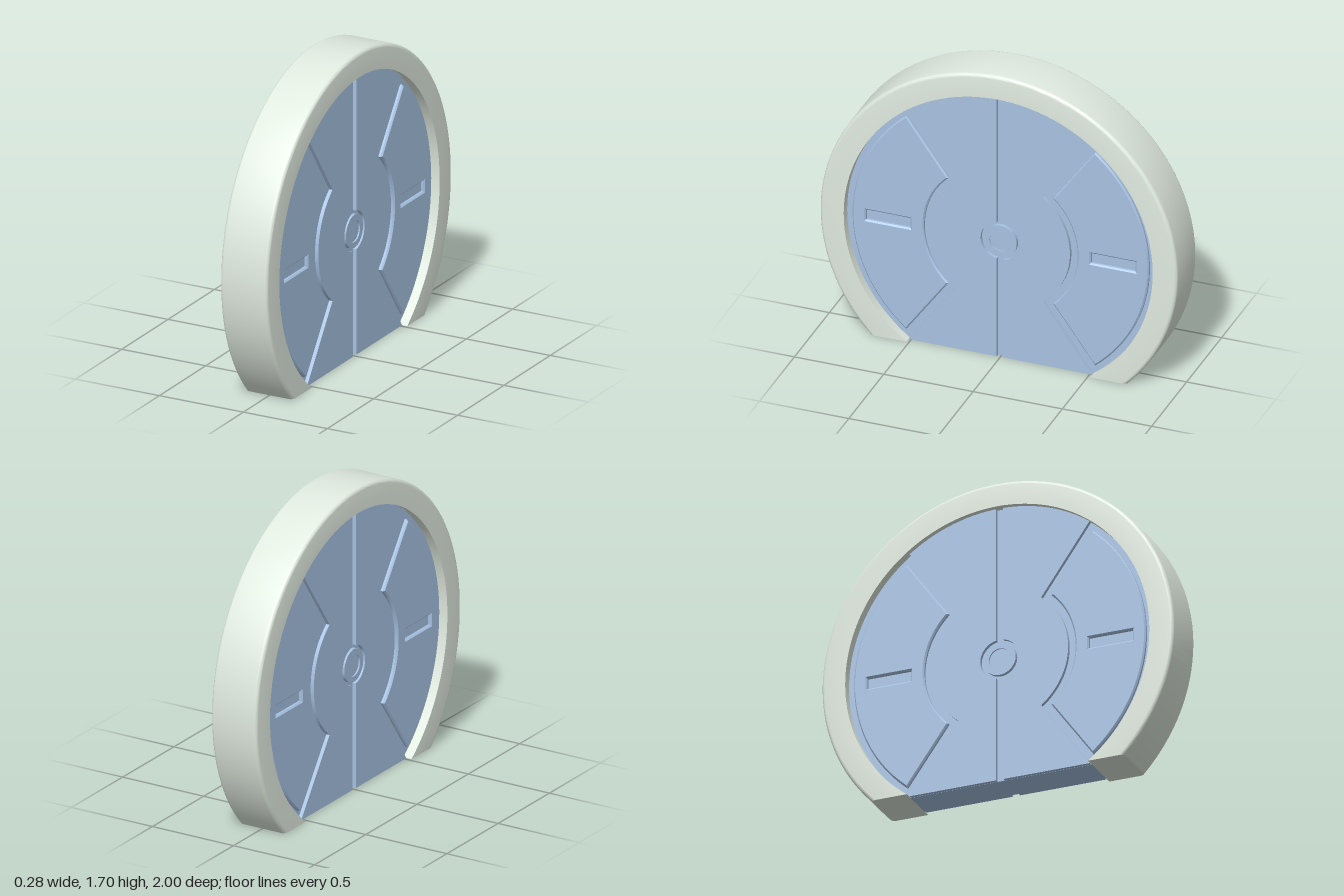
import * as THREE from 'three';
import { toCreasedNormals } from 'three/addons/utils/BufferGeometryUtils.js';

const C = 0.695;        // height of the circle centre above the floor
const R_IN = 0.865;     // inner radius of the frame
const HALF = 0.14;      // half thickness of the frame
const FLOOR = 0.09;     // groove floor, measured from the middle plane
const FACE = 0.11;      // face of the door panels

const frameMat = new THREE.MeshStandardMaterial({ color: 0xe0eadf });
const doorMat = new THREE.MeshStandardMaterial({ color: 0xa7c2e2 });

const P = (x, y) => new THREE.Vector2(x, y);

// Points on a circle around the door centre
function arc(r, a0, a1, n = 32) {
  return Array.from({ length: n + 1 }, (_, i) => {
    const a = a0 + (a1 - a0) * i / n;
    return P(r * Math.cos(a), r * Math.sin(a));
  });
}

// Arc between two heights on the +u side
const arcY = (r, y0, y1, n) => arc(r, Math.asin(y0 / r), Math.asin(y1 / r), n);

const mirrored = (pts, s) => pts.map(p => P(p.x * s, p.y));

function extrude(shape, depth, bevel = 0) {
  const geo = new THREE.ExtrudeGeometry(shape, {
    depth: depth - bevel, curveSegments: 32, bevelEnabled: bevel > 0,
    bevelThickness: bevel, bevelSize: bevel, bevelOffset: -bevel, bevelSegments: 1,
  });
  return toCreasedNormals(geo, 0.5);
}

function addMesh(parent, name, geo, mat) {
  const mesh = new THREE.Mesh(geo, mat);
  mesh.name = name;
  parent.add(mesh);
  return mesh;
}

// Ring with rounded outer edges, cut flat along the floor
function makeFrame() {
  const group = new THREE.Group();
  group.name = 'frame';
  const b = 0.02;
  const profile = [P(R_IN, -HALF)];
  for (const s of [-1, 1]) {
    for (let i = 0; i <= 5; i++) {
      const a = (s < 0 ? i : 5 - i) / 5 * Math.PI / 2;
      profile.push(P(1 - b + b * Math.sin(a), s * (HALF - b + b * Math.cos(a))));
    }
  }
  profile.push(P(R_IN, HALF), P(R_IN, -HALF));

  // Each radius sweeps exactly as far as the floor
  const segments = 112;
  const geo = new THREE.LatheGeometry(profile, segments);
  const pos = geo.attributes.position;
  for (let i = 0; i <= segments; i++) {
    profile.forEach((p, j) => {
      const a = (2 * i / segments - 1) * Math.acos(-C / p.x);
      pos.setXYZ(i * profile.length + j, p.y, C + p.x * Math.cos(a), p.x * Math.sin(a));
    });
  }
  geo.computeVertexNormals();
  addMesh(group, 'frameRing', toCreasedNormals(geo, 0.6), frameMat);

  // Flat feet
  for (const s of [-1, 1]) {
    const pts = profile.slice(0, -1).map(p => P(p.y, s * Math.sqrt(p.x * p.x - C * C)));
    const foot = new THREE.ShapeGeometry(new THREE.Shape(pts)).rotateX(Math.PI / 2);
    addMesh(group, s > 0 ? 'frontFoot' : 'backFoot', foot, frameMat);
  }
  return group;
}

// Raised panels of one door face, drawn around the centre and facing +z
function makeFace(name) {
  const face = new THREE.Group();
  face.name = name;
  const depth = FACE - FLOOR;

  for (const s of [-1, 1]) {
    // Middle panel beside the central seam, cut out around the hub
    const topStart = Math.acos(0.02 / R_IN);
    const hubEnd = Math.acos(0.02 / 0.11);
    const middle = [
      ...arc(R_IN, topStart, Math.atan2(0.695, 0.51), 20),
      ...arcY(0.39, 0.31, -0.31),
      P(0.513, -C), P(0.02, -C),
      ...arc(0.11, -hubEnd, hubEnd, 24),
    ];
    addMesh(face, 'middlePanel', extrude(new THREE.Shape(mirrored(middle, s)), depth), doorMat);

    // Side panel with a chamfered edge and a handle slot
    const side = [...arcY(0.83, -0.64, 0.64, 40), ...arcY(0.43, 0.315, -0.315)];
    const shape = new THREE.Shape(mirrored(side, s));
    const slot = [P(0.505, -0.03), P(0.505, 0.03), P(0.755, 0.03), P(0.755, -0.03)];
    shape.holes.push(new THREE.Path(mirrored(slot, s)));
    addMesh(face, 'sidePanel', extrude(shape, depth, 0.008), doorMat);
  }

  // Hub ring with a shallow dimple
  const ring = new THREE.Shape().absarc(0, 0, 0.092, 0, Math.PI * 2);
  ring.holes.push(new THREE.Path().absarc(0, 0, 0.06, 0, Math.PI * 2));
  addMesh(face, 'hubRing', extrude(ring, depth), doorMat);
  const disc = new THREE.Shape().absarc(0, 0, 0.06, 0, Math.PI * 2);
  addMesh(face, 'hubDisc', extrude(disc, depth * 0.6), doorMat);
  return face;
}

export function createModel() {
  const model = new THREE.Group();
  model.name = 'roundDoor';
  model.add(makeFrame());

  const door = new THREE.Group();
  door.name = 'door';
  door.position.y = C;
  model.add(door);

  // Core plate that forms the groove floor
  const end = Math.asin(C / R_IN);
  const plate = extrude(new THREE.Shape(arc(R_IN + 0.001, -end, Math.PI + end, 96)), 2 * FLOOR);
  plate.translate(0, 0, -FLOOR).rotateY(Math.PI / 2);
  addMesh(door, 'corePlate', plate, doorMat);

  // Same panels on both sides
  for (const s of [-1, 1]) {
    const face = makeFace(s > 0 ? 'leftFace' : 'rightFace');
    face.rotation.y = s * Math.PI / 2;
    face.position.x = s * FLOOR;
    door.add(face);
    face.children.filter(m => m.name === 'sidePanel').forEach(m => { m.position.z = 0; });
  }
  return model;
}
